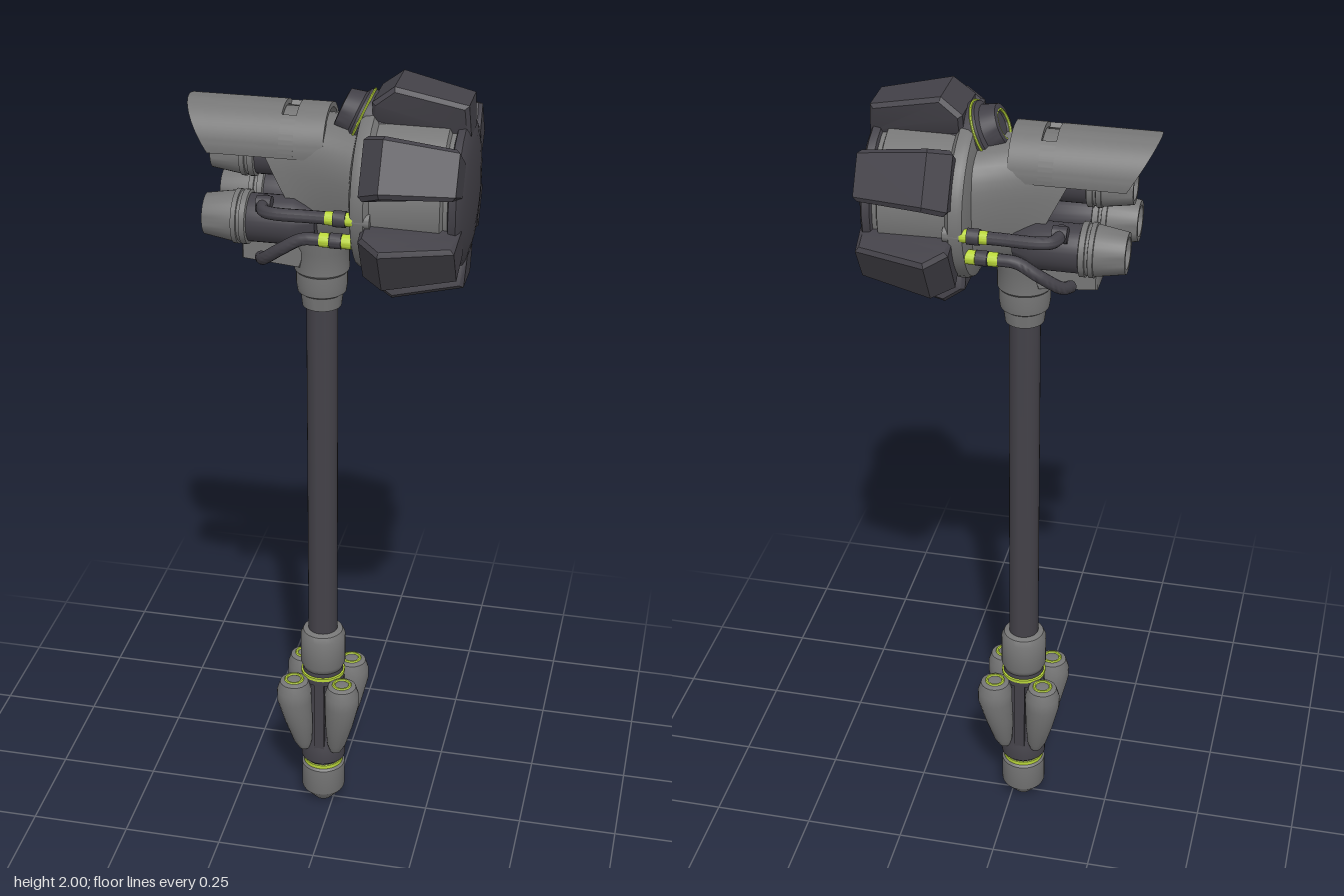
import * as THREE from 'three';
import { toCreasedNormals } from 'three/addons/utils/BufferGeometryUtils.js';

const mat = (name, color) => {
  const m = new THREE.MeshStandardMaterial({ color, side: THREE.DoubleSide });
  m.name = name;
  return m;
};

export function createModel() {
  const model = new THREE.Group();
  model.name = 'rocketHammer';
  const grey = mat('steel grey', 0x767676);
  const dark = mat('dark metal', 0x434148);
  const lime = mat('lime glow', 0xb9d63a);
  const AX = -0.027, HY = 1.75; // shaft x, head axis height

  const add = (name, geo, material, parent = model) => {
    const mesh = new THREE.Mesh(toCreasedNormals(geo, 0.6), material);
    mesh.name = name;
    parent.add(mesh);
    return mesh;
  };
  const lathe = (pts, seg = 32) =>
    new THREE.LatheGeometry(pts.map(([r, y]) => new THREE.Vector2(r, y)), seg);
  const latheX = (pts, seg) => lathe(pts, seg).rotateZ(-Math.PI / 2);
  const warp = (geo, fn) => {
    const p = geo.attributes.position, v = new THREE.Vector3();
    for (let i = 0; i < p.count; i++) {
      fn(v.fromBufferAttribute(p, i));
      p.setXYZ(i, v.x, v.y, v.z);
    }
    geo.computeVertexNormals();
    return geo;
  };

  // Handle
  const handle = new THREE.Group();
  handle.name = 'handle';
  handle.position.x = AX;
  model.add(handle);
  add('pommel', lathe([[0, 0], [0.022, 0.003], [0.054, 0.04], [0.056, 0.045], [0.056, 0.118], [0.05, 0.124], [0, 0.124]]), grey, handle);
  add('pommelRing', lathe([[0.049, 0.122], [0.051, 0.124], [0.051, 0.134], [0.049, 0.136]]), lime, handle);
  add('gripCore', lathe([[0, 0.13], [0.046, 0.134], [0.057, 0.145], [0.057, 0.185], [0.044, 0.21], [0.044, 0.385], [0.054, 0.39], [0.054, 0.405], [0.046, 0.44], [0, 0.44]]), dark, handle);
  add('gripRing', lathe([[0.05, 0.403], [0.056, 0.405], [0.056, 0.413], [0.05, 0.415]]), lime, handle);
  add('collar', lathe([[0.044, 0.42], [0.051, 0.425], [0.057, 0.44], [0.057, 0.52], [0.05, 0.535], [0.036, 0.54]]), grey, handle);
  add('shaft', new THREE.CylinderGeometry(0.037, 0.037, 0.94, 32).translate(0, 0.99, 0), dark, handle);
  add('neck', lathe([[0.037, 1.44], [0.046, 1.442], [0.05, 1.475], [0.057, 1.48], [0.06, 1.5], [0.06, 1.53], [0.064, 1.535], [0.064, 1.59], [0.075, 1.62], [0.075, 1.68]]), grey, handle);

  // Four tapered pods around the grip, leaning inward at the bottom
  for (let i = 0; i < 4; i++) {
    const pod = new THREE.Group();
    pod.name = 'gripPod';
    pod.rotation.y = Math.PI / 4 + i * Math.PI / 2;
    handle.add(pod);
    const shell = lathe([[0, 0.18], [0.014, 0.185], [0.024, 0.21], [0.036, 0.28], [0.044, 0.35], [0.044, 0.38], [0.036, 0.405], [0.026, 0.41], [0, 0.408]], 20);
    add('podShell', warp(shell, (v) => { v.x += 0.058 + 0.03 * Math.min(1, (v.y - 0.18) / 0.17); }), grey, pod);
    add('podRing', new THREE.TorusGeometry(0.021, 0.004, 6, 20).rotateX(Math.PI / 2).translate(0.088, 0.41, 0), lime, pod);
    const rib = add('gripRib', new THREE.BoxGeometry(0.012, 0.25, 0.026).translate(0.047, 0.265, 0), dark, pod);
    rib.rotation.y = Math.PI / 4;
  }

  // Striking head, built around its own x axis
  const head = new THREE.Group();
  head.name = 'head';
  head.position.y = HY;
  model.add(head);
  add('drum', latheX([[0, 0.06], [0.15, 0.065], [0.185, 0.075], [0.19, 0.085], [0.19, 0.105], [0.175, 0.115], [0.168, 0.27], [0.155, 0.275], [0.155, 0.295], [0, 0.295]], 36), grey, head);
  add('strikingFace', latheX([[0.15, 0.283], [0.165, 0.288], [0.168, 0.305], [0.155, 0.312], [0.12, 0.32], [0.07, 0.325], [0, 0.327]], 24), dark, head);

  // Six tapered, bevelled blocks around the drum
  const profile = new THREE.Shape([[0.108, 0.15], [0.108, 0.208], [0.15, 0.24], [0.302, 0.207], [0.306, 0.15]].map((p) => new THREE.Vector2(...p)));
  for (let i = 0; i < 6; i++) {
    const block = new THREE.ExtrudeGeometry(profile, { depth: 0.124, bevelThickness: 0.01, bevelSize: 0.009, bevelSegments: 1 });
    block.translate(0, 0, -0.062);
    warp(block, (v) => {
      v.z *= 1 - 1.1 * (v.x - 0.1);
      if (v.y < 0.19) v.z *= 0.78;
    });
    add('headBlock', block, dark, head).rotation.x = i * Math.PI / 3;
  }

  // Housing between canopy and drum: a squarish tube that flares to the drum
  const housing = new THREE.CylinderGeometry(1, 1, 1, 40, 8).rotateZ(-Math.PI / 2);
  const square = (c) => Math.sign(c) * Math.abs(c) ** 0.75;
  warp(housing, (v) => {
    const t = v.x + 0.5;
    v.z = square(v.z) * (0.088 + 0.058 * t * t);
    v.y = 0.005 + square(v.y) * (v.y > 0 ? 0.158 - 0.02 * t : 0.15);
    v.x = -0.1 + 0.18 * t - v.y * 0.5 * (1 - t);
  });
  add('housing', housing, grey, head);

  // Arched canopy over the thrusters, with a slot in its roof
  const R = 0.093, CY = 1.837 - HY;
  const arch = (name, x0, x1, a0, a1, r = R, rake = 0) => {
    const s = new THREE.Shape();
    s.absarc(0, 0, r, a0, a1, false);
    s.absarc(0, 0, r - 0.012, a1, a0, true);
    const g = new THREE.ExtrudeGeometry(s, { depth: x1 - x0, bevelEnabled: false, curveSegments: 20 });
    g.rotateY(Math.PI / 2).translate(x0, CY, 0);
    warp(g, (v) => { if (v.x < x0 + 0.001) v.x += (R + CY - v.y) * rake; });
    add(name, g, grey, head);
  };
  const lo = -0.1, hi = Math.PI - lo, slot = 0.57;
  arch('canopyRear', -0.33, -0.106, lo, hi, R, 0.6);
  arch('canopySide', -0.106, -0.073, lo, Math.PI / 2 - slot);
  arch('canopySide', -0.106, -0.073, Math.PI / 2 + slot, hi);
  arch('slotFloor', -0.112, -0.067, 0.9, Math.PI - 0.9, R - 0.015);
  arch('canopyFront', -0.073, -0.005, lo, hi);

  // Tilted nozzle tucked behind the top block
  const nozzle = new THREE.Group();
  nozzle.name = 'topNozzle';
  nozzle.position.set(0.085, 1.895 - HY, 0);
  nozzle.rotation.z = 1.16;
  head.add(nozzle);
  add('nozzleBody', lathe([[0.068, -0.05], [0.07, 0.015], [0.066, 0.03], [0.056, 0.036], [0.047, 0.07], [0.036, 0.072], [0.032, 0.062], [0, 0.062]]), dark, nozzle);
  add('nozzleBaseRing', new THREE.TorusGeometry(0.069, 0.003, 6, 32).rotateX(Math.PI / 2).translate(0, 0.022, 0), lime, nozzle);
  add('nozzleTipRing', new THREE.TorusGeometry(0.034, 0.003, 6, 32).rotateX(Math.PI / 2).translate(0, 0.069, 0), lime, nozzle);

  // Three thrusters facing backward
  for (const [y, z, s] of [[1.805, 0, 0.9], [1.68, 0.082, 1], [1.68, -0.082, 1]]) {
    const thruster = new THREE.Group();
    thruster.name = 'thruster';
    thruster.position.set(0, y - HY, z);
    thruster.scale.set(1, s, s);
    head.add(thruster);
    add('thrusterCone', latheX([[0.046, -0.225], [0.036, -0.276], [0.047, -0.276], [0.058, -0.21], [0.058, -0.207], [0.062, -0.206], [0.062, -0.195], [0.058, -0.194], [0.058, -0.188], [0.062, -0.187], [0.062, -0.174], [0.055, -0.172]]), grey, thruster);
    add('thrusterBody', latheX([[0, -0.23], [0.044, -0.23], [0.055, -0.178], [0.055, -0.07], [0.03, -0.02], [0, -0.02]]), dark, thruster);
    add('thrusterGlow', new THREE.TorusGeometry(0.03, 0.006, 6, 28).rotateY(Math.PI / 2).translate(-0.236, 0, 0), lime, thruster);
  }

  // Under-plate behind the neck
  const under = new THREE.Shape([[-0.2, 1.6], [-0.2, 1.565], [-0.07, 1.553], [-0.04, 1.64], [-0.15, 1.64]].map((p) => new THREE.Vector2(...p)));
  add('underPlate', new THREE.ExtrudeGeometry(under, { depth: 0.09, bevelThickness: 0.008, bevelSize: 0.004, bevelSegments: 1 }).translate(0, 0, -0.045), grey);

  // Fuel pipes with bands, mirrored on both sides
  const band = (name, x, w, r, y, z, m) =>
    add(name, new THREE.CylinderGeometry(r, r, w, 20).rotateZ(Math.PI / 2).translate(x, y, z), m);
  const pipe = (name, pts) =>
    add(name, new THREE.TubeGeometry(new THREE.CatmullRomCurve3(pts.map((p) => new THREE.Vector3(...p)), false, 'centripetal'), 40, 0.0145, 12), dark);
  for (const s of [1, -1]) {
    pipe('upperPipe', [[-0.131, 1.73, 0.1 * s], [-0.131, 1.73, 0.14 * s], [-0.122, 1.73, 0.162 * s], [-0.1, 1.73, 0.172 * s], [0, 1.73, 0.172 * s], [0.1, 1.73, 0.172 * s]]);
    band('pipeElbow', -0.131, 0.034, 0.019, 1.73, 0.122 * s, dark);
    band('upperBand', 0.028, 0.018, 0.0155, 1.73, 0.172 * s, lime);
    band('upperSleeve', 0.051, 0.028, 0.0185, 1.73, 0.172 * s, dark);
    band('upperBand', 0.073, 0.016, 0.0155, 1.73, 0.172 * s, lime);
    band('upperSocket', 0.1, 0.038, 0.0185, 1.73, 0.17 * s, grey);
    pipe('lowerPipe', [[-0.15, 1.585, 0.085 * s], [-0.135, 1.598, 0.12 * s], [-0.09, 1.635, 0.146 * s], [-0.04, 1.665, 0.15 * s], [0, 1.668, 0.15 * s], [0.1, 1.668, 0.15 * s]]);
    band('lowerBand', 0.012, 0.022, 0.0165, 1.668, 0.15 * s, lime);
    band('lowerSleeve', 0.038, 0.026, 0.0175, 1.668, 0.15 * s, dark);
    band('lowerBand', 0.063, 0.022, 0.0165, 1.668, 0.15 * s, lime);
  }
  return model;
}
